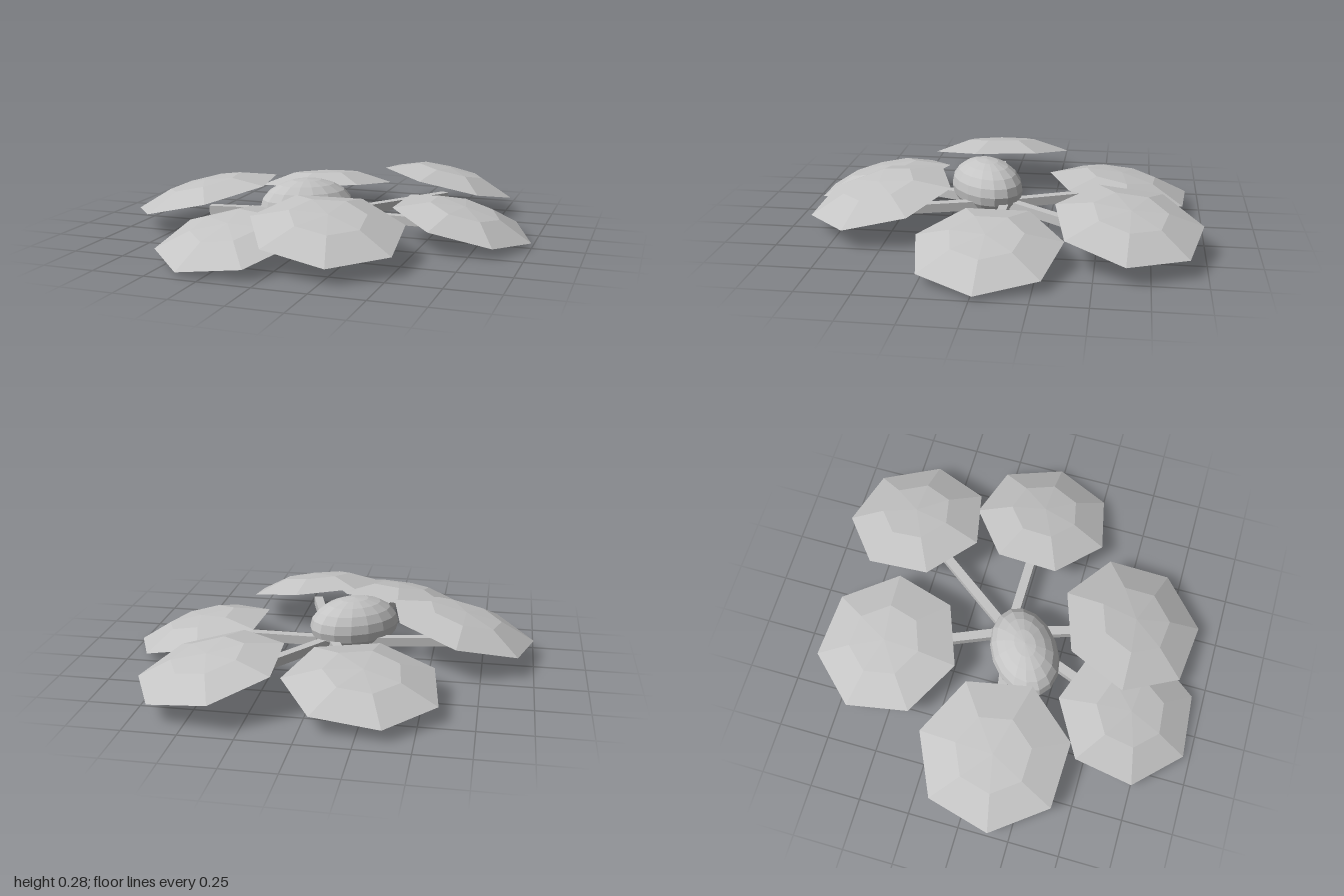
import * as THREE from 'three';

const SIDES = 7;
const SPOKE_ORIGIN = { x: 0, z: -0.03 };

// One entry per panel: centre, radius, turn of the heptagon in degrees, and drop per unit along x and z
const PANELS = [
  { x: 0.66, y: 0.102, z: -0.025, radius: 0.347, spin: 2, drop: [0.24, 0.02] },
  { x: 0.447, y: 0.165, z: -0.645, radius: 0.352, spin: 0, drop: [0.2, -0.12] },
  { x: -0.237, y: 0.118, z: -0.592, radius: 0.367, spin: -8, drop: [-0.07, -0.14] },
  { x: -0.642, y: 0.165, z: 0.077, radius: 0.373, spin: 14.7, drop: [-0.235, 0.035] },
  { x: -0.253, y: 0.103, z: 0.645, radius: 0.35, spin: 7, drop: [-0.085, 0.23] },
  { x: 0.178, y: 0.16, z: 0.557, radius: 0.36, spin: 20.6, drop: [0.13, 0.21] },
];

// Shallow faceted dome with a flat underside
function makePanel({ x, y, z, radius, spin, drop }, material) {
  const profile = [[0, 0], [radius, 0], [radius * 0.5, 0.062], [0, 0.073]]
    .map(([r, h]) => new THREE.Vector2(r, h));
  const phiStart = THREE.MathUtils.degToRad(90 - spin);
  const panel = new THREE.Mesh(new THREE.LatheGeometry(profile, SIDES, phiStart), material);
  const normal = new THREE.Vector3(drop[0], 1, drop[1]).normalize();
  panel.quaternion.setFromUnitVectors(new THREE.Vector3(0, 1, 0), normal);
  panel.position.set(x, y, z);
  panel.name = 'panel';
  return panel;
}

// Straight square bar from the middle to the centre of a panel
function makeSpoke({ x, z }, material) {
  const dx = (x - SPOKE_ORIGIN.x) * 0.98;
  const dz = (z - SPOKE_ORIGIN.z) * 0.98;
  const spoke = new THREE.Mesh(new THREE.BoxGeometry(Math.hypot(dx, dz), 0.045, 0.045), material);
  spoke.position.set(SPOKE_ORIGIN.x + dx / 2, 0.082, SPOKE_ORIGIN.z + dz / 2);
  spoke.rotation.y = Math.atan2(-dz, dx);
  spoke.name = 'spoke';
  return spoke;
}

export function createModel() {
  const model = new THREE.Group();
  model.name = 'sixPanelCluster';
  const grey = new THREE.MeshStandardMaterial({ color: 0xc4c4c4, flatShading: true });
  grey.name = 'light grey';

  // Squashed oval hub
  const hub = new THREE.Mesh(new THREE.SphereGeometry(1, 16, 10), grey);
  hub.scale.set(0.235, 0.14, 0.165);
  hub.rotation.y = THREE.MathUtils.degToRad(34);
  hub.position.set(-0.098, 0.14, 0.08);
  hub.name = 'hub';
  model.add(hub);

  // Spokes and their panels
  for (const spec of PANELS) {
    model.add(makeSpoke(spec, grey), makePanel(spec, grey));
  }
  return model;
}
